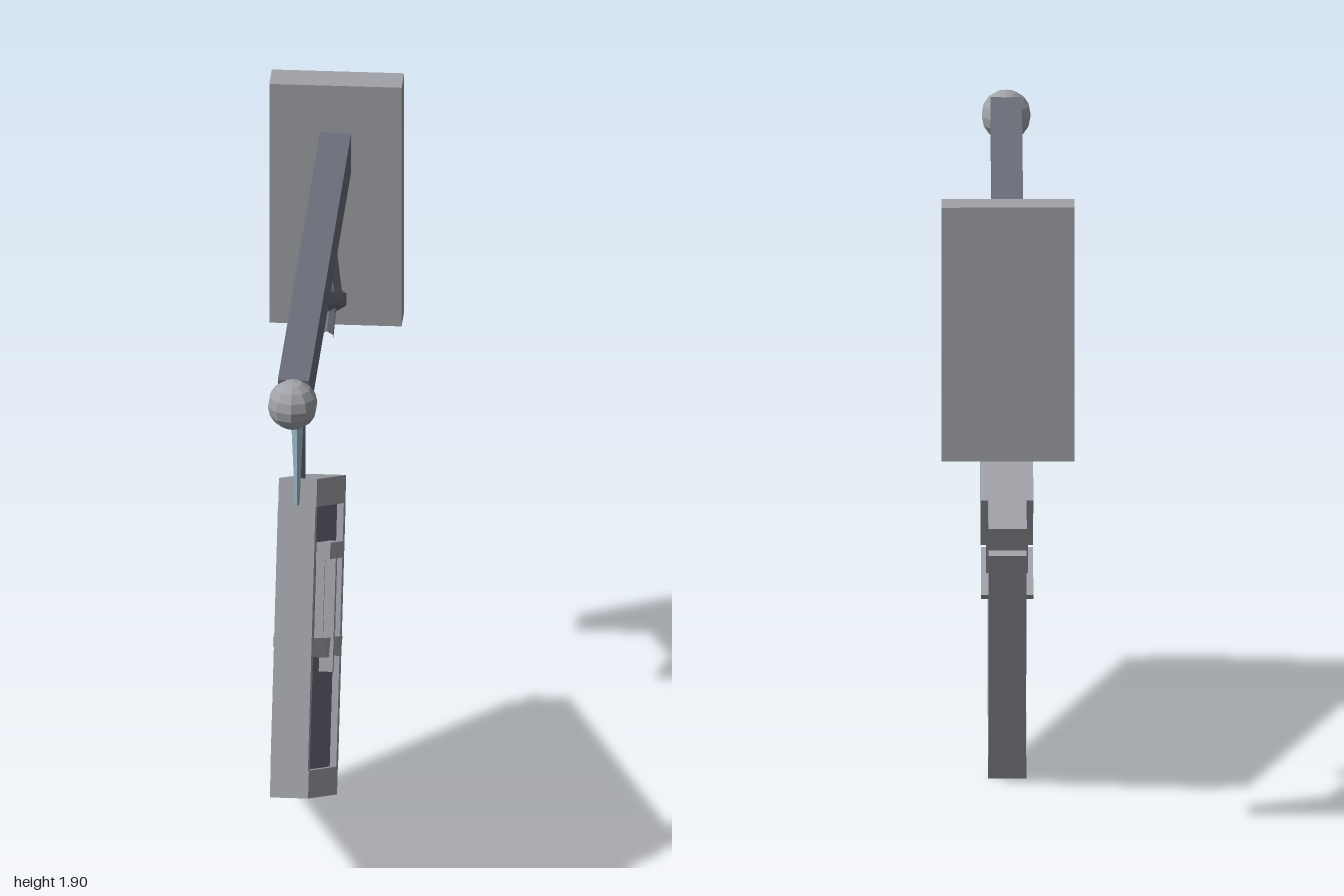
import * as THREE from 'three';

const stone = new THREE.MeshStandardMaterial({ color: 0xa0a2a8 });
stone.name = 'pale stone';
const iron = new THREE.MeshStandardMaterial({ color: 0x6b6d79 });
iron.name = 'dark iron';
const ice = new THREE.MeshStandardMaterial({ color: 0x9fbccb });
ice.name = 'ice blue';

// Faceted mesh: every face keeps its own normal
function facet(name, geometry, material, x = 0, y = 0, z = 0) {
  const geo = geometry.index ? geometry.toNonIndexed() : geometry;
  geo.computeVertexNormals();
  const mesh = new THREE.Mesh(geo, material);
  mesh.name = name;
  mesh.position.set(x, y, z);
  return mesh;
}

function box(name, material, w, h, d, x, y, z = 0) {
  return facet(name, new THREE.BoxGeometry(w, h, d), material, x, y, z);
}

// Six-sided rod from a to b, optionally tapered
function rod(name, material, a, b, rA, rB = rA) {
  const from = new THREE.Vector3(...a), to = new THREE.Vector3(...b);
  const dir = to.clone().sub(from);
  const geo = new THREE.CylinderGeometry(rB, rA, dir.length(), 6, 1, false, Math.PI / 2);
  const mesh = facet(name, geo, material);
  mesh.position.copy(from).add(to).multiplyScalar(0.5);
  mesh.quaternion.setFromUnitVectors(new THREE.Vector3(0, 1, 0), dir.normalize());
  return mesh;
}

// Framed board with a pair of balance scales in relief on both faces
function makeSign() {
  const sign = new THREE.Group();
  sign.name = 'hangingSign';
  sign.add(box('signPanel', iron, 1.22, 0.78, 0.07, 0, 0));
  for (const s of [-1, 1]) {
    sign.add(box('frameRail', stone, 1.29, 0.08, 0.11, 0, s * 0.418));
    sign.add(box('frameStile', stone, 0.08, 0.757, 0.108, s * 0.631, 0));
  }

  const depth = 0.15;
  sign.add(box('scaleBeam', stone, 0.567, 0.047, depth, 0, 0.249));
  sign.add(box('scalePost', stone, 0.045, 0.33, depth, 0, 0.065));
  const pan = new THREE.Shape([
    new THREE.Vector2(-0.11, 0), new THREE.Vector2(-0.059, -0.056),
    new THREE.Vector2(0.059, -0.056), new THREE.Vector2(0.11, 0),
  ]);
  for (const s of [-1, 1]) {
    sign.add(box('scaleCord', stone, 0.018, 0.235, 0.12, s * 0.266, 0.112));
    const geo = new THREE.ExtrudeGeometry(pan, { depth, bevelEnabled: false });
    sign.add(facet('scalePan', geo, stone, s * 0.266, 0, -depth / 2));
  }
  return sign;
}

export function createModel() {
  const model = new THREE.Group();
  model.name = 'hangingSignBracket';

  // Built side-on: x runs towards the wall, then turned to face +z
  const side = new THREE.Group();
  side.name = 'bracket';
  side.rotation.y = Math.PI / 2;
  model.add(side);

  // Wall plate, arm and finial
  side.add(box('wallPlate', stone, 0.1, 0.752, 0.38, 0.95, 1.536));
  side.add(box('arm', iron, 1.72, 0.122, 0.09, 0.05, 1.703));
  side.add(facet('finialBall', new THREE.SphereGeometry(0.073, 10, 8), stone, -0.842, 1.703));

  // Diagonal brace, short strut and scroll
  side.add(rod('brace', iron, [-0.03, 1.671, 0], [0.92, 1.231, 0], 0.036));
  side.add(rod('strut', iron, [0.485, 1.66, 0.005], [0.485, 1.44, 0.03], 0.021));
  const scroll = facet('scroll', new THREE.TorusGeometry(0.18, 0.02, 6, 16, 4.5), iron, 0.55, 1.46);
  scroll.rotation.z = -1.6;
  side.add(scroll);

  // The one remaining hanger
  side.add(rod('hanger', iron, [-0.52, 1.66, 0], [-0.52, 1.28, 0], 0.016));

  // Icicles: distance along the arm and height of the tip
  for (const [x, tip] of [[-0.65, 1.3], [-0.27, 1.39], [0.36, 1.53]]) {
    side.add(rod('icicle', ice, [x, 1.65, 0], [x, tip, 0], 0.024, 0.007));
  }

  // Board hanging askew from one corner
  const sign = makeSign();
  sign.position.set(-0.218, 0.688, 0);
  sign.rotation.z = -THREE.MathUtils.degToRad(24);
  side.add(sign);

  return model;
}
